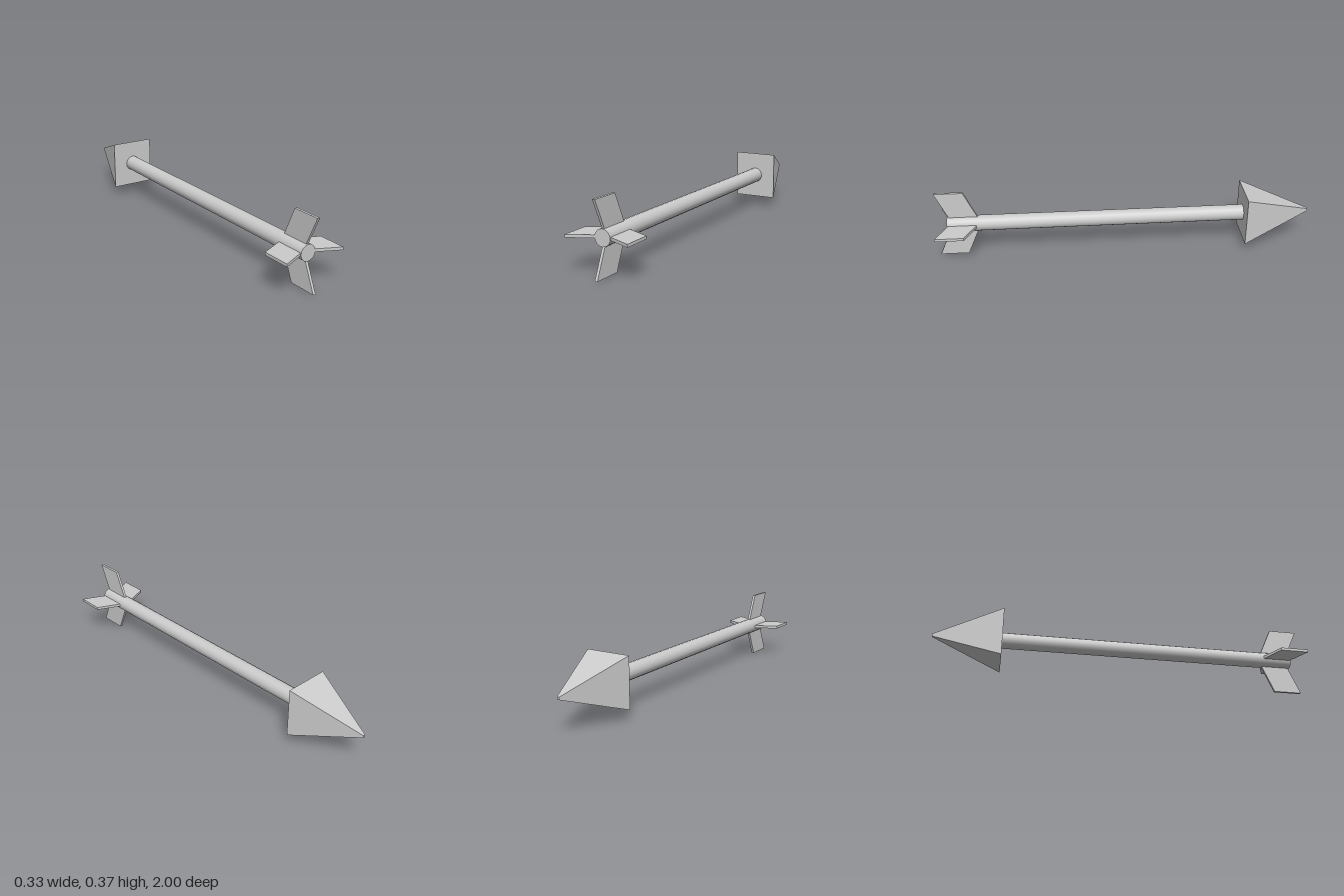
import * as THREE from 'three';

const AXIS_Y = 0.184; // height of the shaft's centre line

export function createModel() {
  const group = new THREE.Group();
  const smooth = new THREE.MeshStandardMaterial({ color: 0xcccccc });
  const flat = new THREE.MeshStandardMaterial({ color: 0xcccccc, flatShading: true });

  const add = (name, geometry, material) => {
    const mesh = new THREE.Mesh(geometry, material);
    mesh.name = name;
    mesh.position.y = AXIS_Y;
    group.add(mesh);
    return mesh;
  };

  // Round shaft along z
  const shaftFront = 0.945, shaftBack = -0.645;
  const shaft = new THREE.CylinderGeometry(0.042, 0.042, shaftFront - shaftBack, 16);
  shaft.rotateX(-Math.PI / 2).translate(0, 0, (shaftFront + shaftBack) / 2);
  add('shaft', shaft, smooth);

  // Four-sided head with a tiny blunt tip, pointing to -z
  const head = new THREE.CylinderGeometry(0.05 * Math.SQRT2, Math.SQRT2, 0.36, 4);
  head.rotateY(Math.PI / 4).rotateX(-Math.PI / 2);
  head.scale(0.121, 0.1315, 1).translate(0, 0, -0.82);
  add('arrowHead', head, flat);

  // Swept fin: outline in (radius, z), extruded to its thickness
  const finGeometry = (span, thickness, rootZ, tipZ) => {
    const chord = 0.15, root = 0.032;
    const outline = new THREE.Shape([
      new THREE.Vector2(root, rootZ),
      new THREE.Vector2(span, tipZ),
      new THREE.Vector2(span, tipZ + chord),
      new THREE.Vector2(root, rootZ + chord),
    ]);
    const fin = new THREE.ExtrudeGeometry(outline, { depth: thickness, bevelEnabled: false });
    return fin.translate(0, 0, -thickness / 2).rotateX(Math.PI / 2);
  };

  // Side fins are a little shorter than the upright ones
  const sideFin = finGeometry(0.165, 0.015, 0.786, 0.846);
  const uprightFin = finGeometry(0.184, 0.014, 0.782, 0.85);
  ['leftFin', 'topFin', 'rightFin', 'bottomFin'].forEach((name, i) => {
    add(name, i % 2 ? uprightFin : sideFin, flat).rotation.z = i * Math.PI / 2;
  });

  return group;
}
